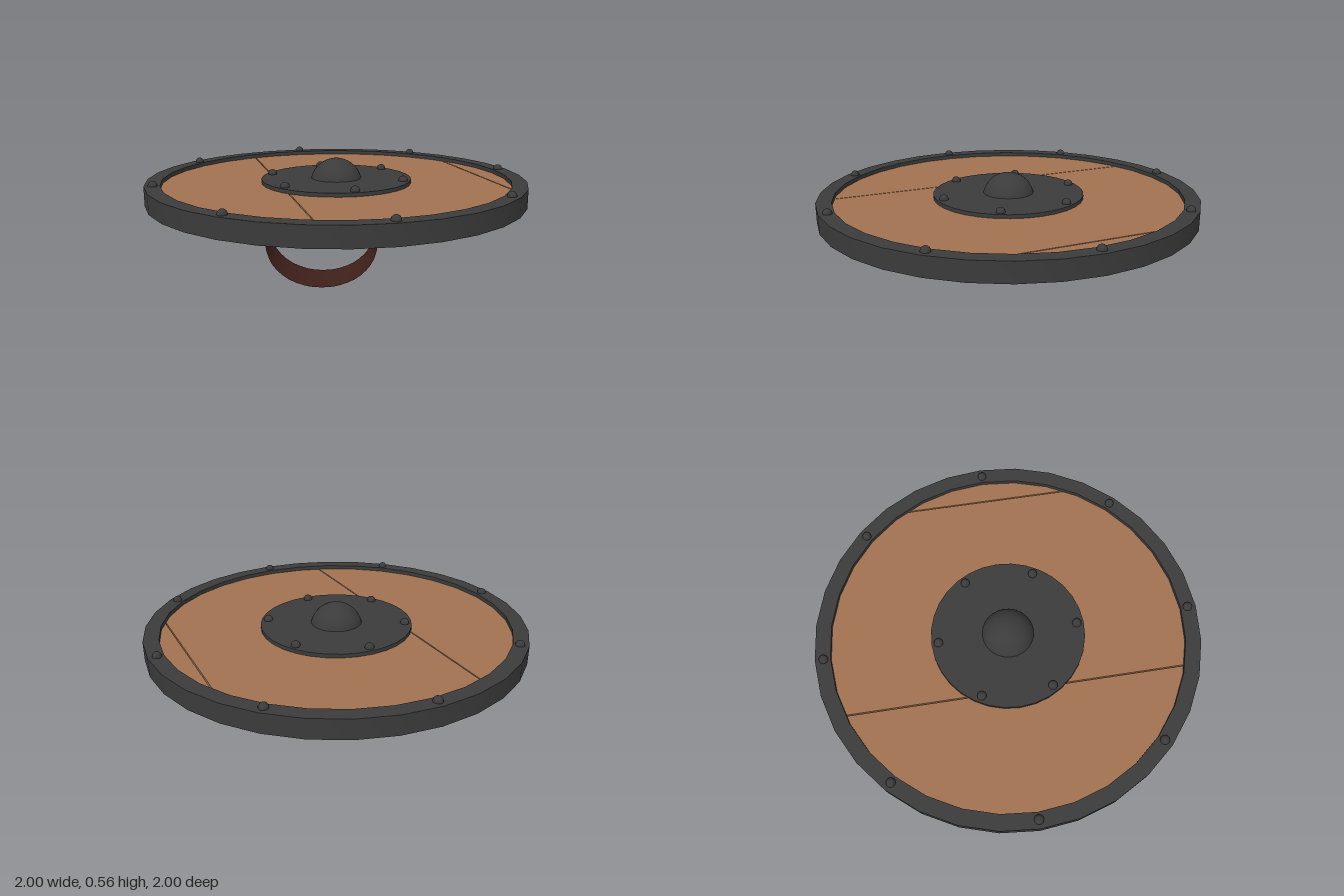
import * as THREE from 'three';
import { toCreasedNormals } from 'three/addons/utils/BufferGeometryUtils.js';

const metal = new THREE.MeshStandardMaterial({ color: 0x3b3b3b });
const wood = new THREE.MeshStandardMaterial({ color: 0xa07250 });
const leather = new THREE.MeshStandardMaterial({ color: 0x40201a, side: THREE.DoubleSide });

function add(parent, name, geometry, material, x = 0, y = 0, z = 0) {
  const mesh = new THREE.Mesh(geometry, material);
  mesh.name = name;
  mesh.position.set(x, y, z);
  parent.add(mesh);
  return mesh;
}

// Extrude a plan outline upwards from y = 0
function slab(shape, height) {
  const g = new THREE.ExtrudeGeometry(shape, { depth: height, bevelEnabled: false, curveSegments: 16 });
  g.rotateX(-Math.PI / 2);
  return toCreasedNormals(g, 0.6);
}

// Outline of one plank: the slice of a disc between x = a and x = b
function plankShape(a, b, radius) {
  const clampAcos = (v) => Math.acos(THREE.MathUtils.clamp(v / radius, -1, 1));
  const from = clampAcos(b), to = clampAcos(a), pts = [];
  const n = 20;
  for (const side of [1, -1]) {
    for (let i = 0; i <= n; i++) {
      const t = side > 0 ? from + (to - from) * i / n : -to + (to - from) * i / n;
      const p = new THREE.Vector2(radius * Math.cos(t), radius * Math.sin(t));
      if (!pts.length || pts[pts.length - 1].distanceTo(p) > 1e-4) pts.push(p);
    }
  }
  if (pts[0].distanceTo(pts[pts.length - 1]) < 1e-4) pts.pop();
  return new THREE.Shape(pts);
}

const rivetGeometry = new THREE.SphereGeometry(0.024, 14, 10);

function rivetRing(parent, name, count, radius, y) {
  for (let i = 0; i < count; i++) {
    const a = i / count * Math.PI * 2;
    add(parent, name, rivetGeometry, metal, Math.sin(a) * radius, y, Math.cos(a) * radius);
  }
}

// Leather band: half profile from the bottom centre up, mirrored, with flat riveted ends
function strap(name, half, width, flangeEnd, rivetX, rivetZ) {
  const group = new THREE.Group();
  group.name = name;
  const right = half.map(([x, y]) => new THREE.Vector3(x, y, 0));
  const left = right.slice(1).reverse().map((p) => new THREE.Vector3(-p.x, p.y, 0));
  const path = new THREE.CatmullRomCurve3([...left, ...right]).getPoints(32);

  const pos = [], idx = [];
  path.forEach((p, i) => {
    pos.push(p.x, p.y, -width / 2, p.x, p.y, width / 2);
    if (i) {
      const k = 2 * i;
      idx.push(k - 2, k, k - 1, k - 1, k, k + 1);
    }
  });
  const g = new THREE.BufferGeometry();
  g.setAttribute('position', new THREE.Float32BufferAttribute(pos, 3));
  g.setIndex(idx);
  g.computeVertexNormals();
  add(group, 'strapLoop', g, leather);

  const [topX, topY] = half[half.length - 1];
  for (const s of [-1, 1]) {
    add(group, 'strapEnd', new THREE.BoxGeometry(flangeEnd - topX, 0.006, width), leather,
      s * (topX + flangeEnd) / 2, topY, 0);
    for (const t of [-1, 1]) add(group, 'strapRivet', rivetGeometry, metal, s * rivetX, 0.381, t * rivetZ);
  }
  return group;
}

export function createModel() {
  const model = new THREE.Group();
  model.name = 'roundShield';

  // Metal rim
  const ring = new THREE.Shape().absarc(0, 0, 1, 0, Math.PI * 2);
  ring.holes.push(new THREE.Path().absarc(0, 0, 0.92, 0, Math.PI * 2, true));
  add(model, 'rim', slab(ring, 0.1), metal, 0, 0.365, 0);
  rivetRing(model, 'rimRivet', 8, 0.955, 0.467);

  // Planks with narrow gaps, over a leather backing
  const gap = 0.003, joints = [-0.94, -0.307, 0.807, 0.94];
  for (let i = 0; i < 3; i++) {
    add(model, 'plank', slab(plankShape(joints[i] + gap, joints[i + 1] - gap, 0.935), 0.062), wood, 0, 0.381, 0);
  }
  add(model, 'backing', new THREE.CylinderGeometry(0.935, 0.935, 0.007, 32), leather, 0, 0.3775, 0);

  // Centre plate and domed boss
  add(model, 'centrePlate', toCreasedNormals(new THREE.CylinderGeometry(0.4, 0.4, 0.03, 32), 0.6), metal, 0, 0.448, 0);
  add(model, 'boss', new THREE.SphereGeometry(0.138, 32, 16, 0, Math.PI * 2, 0, Math.PI / 2), metal, 0, 0.43, 0);
  rivetRing(model, 'plateRivet', 6, 0.363, 0.466);

  // Wide arm strap, set at a slant
  const armStrap = strap('armStrap',
    [[0, 0.003], [0.08, 0.012], [0.17, 0.05], [0.24, 0.12], [0.27, 0.21], [0.263, 0.29], [0.225, 0.372]],
    0.265, 0.49, 0.43, 0.1);
  armStrap.position.set(-0.15, 0, 0.29);
  armStrap.rotation.y = -THREE.MathUtils.degToRad(15);
  model.add(armStrap);

  // Narrow hand strap
  const handStrap = strap('handStrap',
    [[0, 0.102], [0.1, 0.118], [0.19, 0.17], [0.24, 0.24], [0.247, 0.3], [0.225, 0.372]],
    0.175, 0.44, 0.38, 0.05);
  handStrap.position.set(0.107, 0, -0.495);
  model.add(handStrap);

  return model;
}
